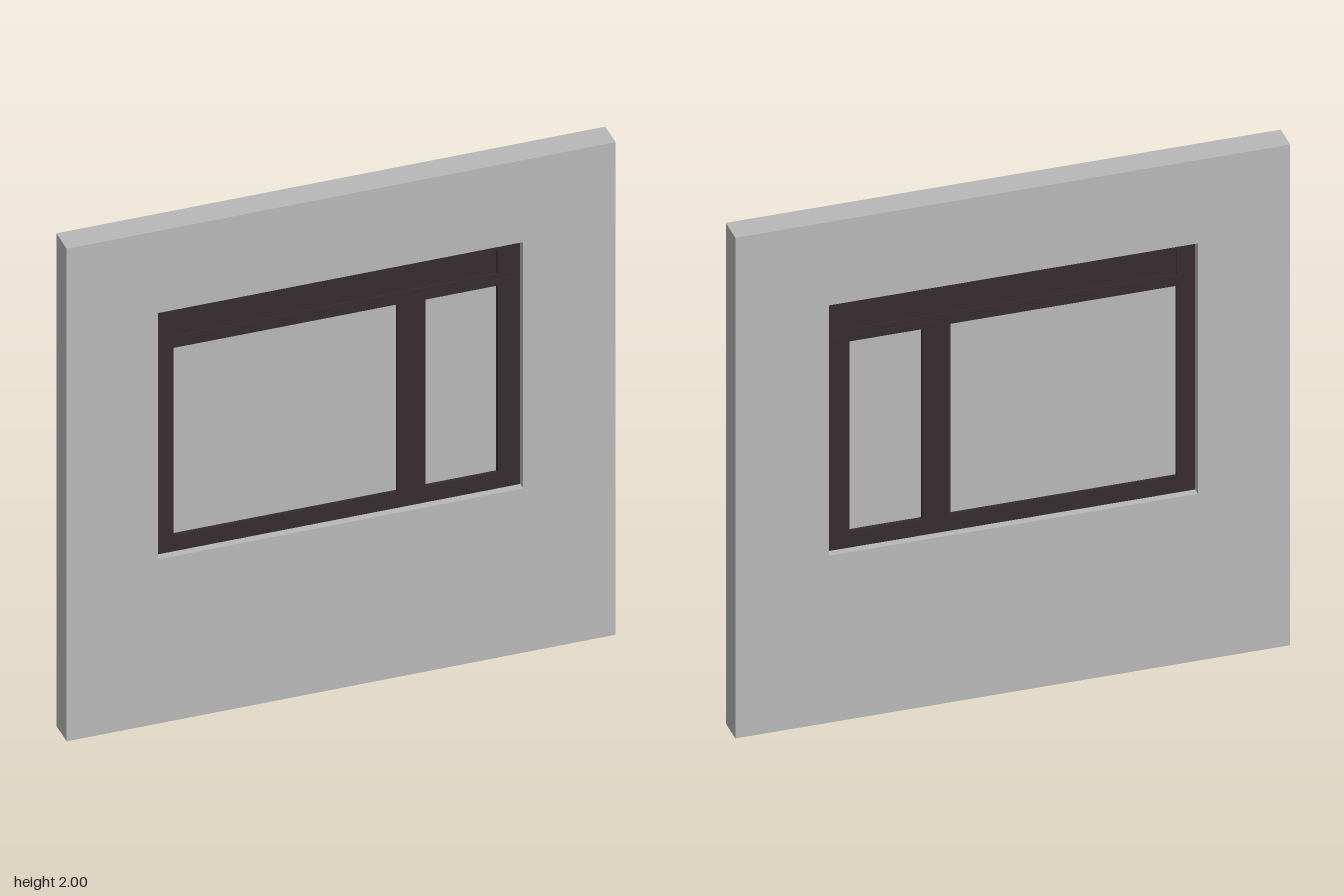
import * as THREE from 'three';

const wallGrey = new THREE.MeshStandardMaterial({ name: 'wallGrey', color: 0xb8b8b8 });
const glassGrey = new THREE.MeshStandardMaterial({ name: 'glassGrey', color: 0xb8b8b8 });
const darkBrown = new THREE.MeshStandardMaterial({ name: 'darkBrown', color: 0x352c2e });

// Rectangles are [left, bottom, right, top]
const OPENING = [-0.667, 0.667, 0.663, 1.667];
const FIXED = [-0.6, 0.733, 0.215, 1.493];
const SASH = [0.27, 0.693, 0.635, 1.517];
const SASH_PANE = [0.317, 0.733, 0.58, 1.493];
const TRANSOM = [-0.6, 1.538, 0.58, 1.638];

function trace(path, [l, b, r, t]) {
  return path.moveTo(l, b).lineTo(r, b).lineTo(r, t).lineTo(l, t).closePath();
}

// Rectangular slab with rectangular holes, centred on z = 0
function slab(name, outer, holes, depth, material) {
  const shape = trace(new THREE.Shape(), outer);
  holes.forEach((h) => shape.holes.push(trace(new THREE.Path(), h)));
  const geometry = new THREE.ExtrudeGeometry(shape, { depth, bevelEnabled: false });
  geometry.translate(0, 0, -depth / 2);
  const mesh = new THREE.Mesh(geometry, material);
  mesh.name = name;
  return mesh;
}

export function createModel() {
  const model = new THREE.Group();
  model.name = 'wallWithWindow';

  // Wall with a central opening
  model.add(slab('wall', [-1, 0, 1, 2], [OPENING], 0.105, wallGrey));

  // Window set back from both wall faces
  const frame = new THREE.Group();
  frame.name = 'window';
  frame.add(
    slab('outerFrame', OPENING, [FIXED, SASH, TRANSOM], 0.045, darkBrown),
    slab('sashFrame', SASH, [SASH_PANE], 0.053, darkBrown),
    slab('transomPanel', TRANSOM, [], 0.03, darkBrown),
    slab('fixedGlass', FIXED, [], 0.02, glassGrey),
    slab('sashGlass', SASH_PANE, [], 0.02, glassGrey),
  );
  model.add(frame);
  return model;
}
